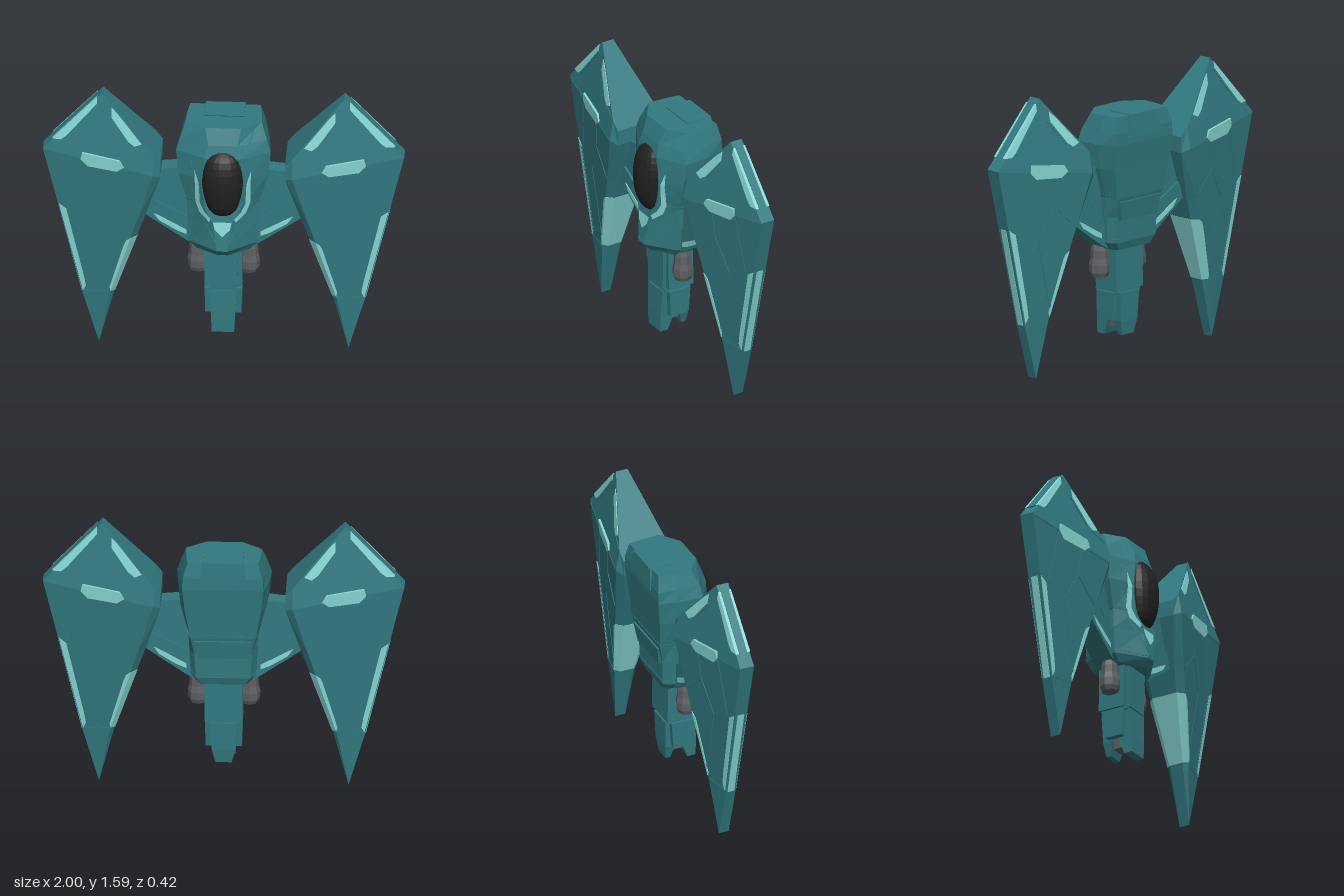
import * as THREE from 'three';

const mat = (name, color) => Object.assign(new THREE.MeshStandardMaterial({ color }), { name });

// Flat-shaded geometry from a list of triangles
function fromTriangles(tris) {
  const g = new THREE.BufferGeometry();
  g.setAttribute('position', new THREE.Float32BufferAttribute(tris.flat(2), 3));
  g.computeVertexNormals();
  return g;
}
function faceted(geo) {
  const g = geo.toNonIndexed();
  g.computeVertexNormals();
  return g;
}
// Mirrored copy across x = 0, with the corner order put right again
function mirrorX(geo) {
  const p = geo.attributes.position, tris = [];
  const v = (i) => [-p.getX(i), p.getY(i), p.getZ(i)];
  for (let i = 0; i < p.count; i += 3) tris.push([v(i), v(i + 2), v(i + 1)]);
  return fromTriangles(tris);
}
// Counter-clockwise triangles of a polygon
function triangulate(poly) {
  const c = poly.map(([x, y]) => new THREE.Vector2(x, y));
  return THREE.ShapeUtils.triangulateShape(c, []).map(([i, j, k]) =>
    THREE.ShapeUtils.area([c[i], c[j], c[k]]) > 0 ? [poly[i], poly[j], poly[k]] : [poly[i], poly[k], poly[j]]);
}
// Slab symmetric in z: faces of [x, y, half thickness], closed by a counter-clockwise rim
function slab(faces, rim) {
  const tris = [], back = ([x, y, h]) => [x, y, -h];
  for (const f of faces) for (const [a, b, c] of triangulate(f))
    tris.push([a, b, c], [back(a), back(c), back(b)]);
  rim.forEach((a, i) => {
    const b = rim[(i + 1) % rim.length];
    tris.push([a, back(a), back(b)], [a, back(b), b]);
  });
  return fromTriangles(tris);
}
// Panel through a slab, standing slightly proud of it on both sides
function plate(pts, height, lift = 0.004) {
  const poly = pts.map(([x, y]) => [x, y, height(x, y) + lift]);
  if (THREE.ShapeUtils.area(pts.map(([x, y]) => new THREE.Vector2(x, y))) < 0) poly.reverse();
  return slab([poly], poly);
}
// Corners of a narrow strip from a to b
function strip([ax, ay], [bx, by], w = 0.011) {
  const l = Math.hypot(bx - ax, by - ay), nx = (-(by - ay) / l) * w / 2, ny = ((bx - ax) / l) * w / 2;
  return [[ax - nx, ay - ny], [bx - nx, by - ny], [bx + nx, by + ny], [ax + nx, ay + ny]];
}
// Height of the plane through three points
function plane(a, b, c) {
  const n = new THREE.Plane().setFromCoplanarPoints(...[a, b, c].map((p) => new THREE.Vector3(...p)));
  return (x, y) => -(n.constant + n.normal.x * x + n.normal.y * y) / n.normal.z;
}
// Closed loft through rings ordered upwards
function loft(rings) {
  const tris = [], n = rings[0].length, top = rings[rings.length - 1], low = rings[0];
  for (let r = 0; r < rings.length - 1; r++) for (let i = 0; i < n; i++) {
    const j = (i + 1) % n, a = rings[r][i], b = rings[r][j], c = rings[r + 1][j], d = rings[r + 1][i];
    tris.push([a, b, c], [a, c, d]);
  }
  for (let i = 1; i < n - 1; i++) tris.push([top[0], top[i], top[i + 1]], [low[0], low[i + 1], low[i]]);
  return fromTriangles(tris);
}
// Tapered block; each end is [y, x0, x1, z0, z1]
const block = (...ends) => loft(ends.map(([y, x0, x1, z0, z1]) => [[x0, y, z1], [x1, y, z1], [x1, y, z0], [x0, y, z0]]));

// Hull sections: y, ridge half width, ridge z, side half width, side z, back half width, back z
const SECTIONS = [
  [0.645, 0.03, 0.14, 0.15, 0.06, 0.12, -0.13], [0.69, 0.03, 0.18, 0.19, 0.06, 0.15, -0.145],
  [0.84, 0.05, 0.16, 0.2, 0.06, 0.16, -0.15], [0.95, 0.1, 0.14, 0.2, 0.06, 0.18, -0.175],
  [1.12, 0.12, 0.14, 0.25, 0.06, 0.21, -0.19], [1.26, 0.1, 0.14, 0.262, 0.05, 0.225, -0.205],
  [1.33, 0.08, 0.12, 0.24, 0.04, 0.222, -0.205], [1.42, 0.1, 0.08, 0.21, 0.0, 0.195, -0.19],
];
function sectionAt(y) {
  const i = Math.max(1, SECTIONS.findIndex((s) => s[0] >= y)), a = SECTIONS[i - 1], b = SECTIONS[i];
  return a.map((v, k) => v + (b[k] - v) * (y - a[0]) / (b[0] - a[0]));
}
function hullRing([y, a, zf, w, zs, b, zb], grow = 0) {
  const half = [[a, zf + grow], [w + grow, zs], [w * 0.7 + b * 0.3 + grow, -0.1], [b + grow, zb - grow]];
  const other = half.map(([x, z]) => [-x, z]).reverse();
  return [...half, ...other].map(([x, z]) => [x, y, z]);
}
// Decal lying on the front of the hull
function hullDecal(pts, lift) {
  return fromTriangles(triangulate(pts.map(([x, y]) => {
    const [, a, zf, w, zs] = sectionAt(y), t = Math.max(0, (Math.abs(x) - a) / (w - a));
    return [x, y, zf + (zs - zf) * t + lift];
  })));
}

export function createModel() {
  const teal = mat('teal armour', 0x31797f), cyan = mat('pale cyan trim', 0x88d8d6);
  const black = mat('black canopy', 0x212121), grey = mat('grey metal', 0x5e5f63);
  const model = new THREE.Group();
  const add = (parent, name, geo, material) => {
    const m = new THREE.Mesh(geo, material);
    m.name = name;
    parent.add(m);
    return m;
  };

  // Wing surface: an upper and a lower facet meeting at a crease, with a bevel towards the hull
  const P = [0.385, 1.14, 0.165], O = [1, 1.23, 0.042], T = [0.67, 1.59, 0.035], B = [0.69, 0, 0.03];
  const upper = plane(P, O, T), lower = plane(P, O, B);
  const on = (f, x, y) => [x, y, f(x, y)];
  const I1 = [0.345, 1.21, 0.135], I2 = [0.345, 1.12, 0.135], I3 = [0.43, 0.85, 0.09], I4 = [0.605, 0.33, 0.04];
  const R1 = on(upper, 0.385, 1.257), R2 = on(lower, 0.47, 0.85), R3 = on(lower, 0.625, 0.34), Q = on(lower, 0.78, 0.31);
  const bevel = plane(I3, I4, R2), flat = (h) => () => h;
  const wingParts = [['wingPanel', teal, slab(
    [[P, O, T, R1], [P, R2, R3, B, Q, O], [I2, I3, R2, P], [I2, P, R1, I1], [I3, I4, R3, R2], [I4, B, R3]],
    [I1, I2, I3, I4, B, Q, O, T, R1])]];
  const trims = [
    [upper, [[0.948, 1.295], [0.7, 1.564], [0.7, 1.525], [0.87, 1.32], [0.9, 1.295]]],
    [upper, [[0.62, 1.512], [0.585, 1.478], [0.45, 1.318], [0.49, 1.3], [0.525, 1.325], [0.62, 1.455]]],
    [lower, [[0.547, 1.172], [0.588, 1.14], [0.752, 1.152], [0.79, 1.192], [0.78, 1.235], [0.57, 1.21]]],
    [lower, [[0.912, 0.88], [0.778, 0.325], [0.762, 0.36], [0.772, 0.42], [0.87, 0.85]]],
    [bevel, [[0.475, 0.71], [0.599, 0.34], [0.624, 0.345], [0.5125, 0.71]]],
    [lower, [[0.5125, 0.71], [0.624, 0.345], [0.63, 0.37], [0.55, 0.66], [0.537, 0.69]]],
  ];
  for (const [f, pts] of trims) wingParts.push(['wingTrim', cyan, plate(pts, f)]);
  // Cores along the outer rim: teal between the upper trims, cyan between the lower ones
  wingParts.push(['rimCore', teal, plate([[0.954, 1.293], [0.7, 1.569], [0.7, 1.54], [0.93, 1.29]], flat(0.024), 0)]);
  wingParts.push(['rimTrim', cyan, plate([[0.92, 0.88], [0.785, 0.315], [0.76, 0.33], [0.89, 0.88]], flat(0.02), 0)]);
  const seams = [
    [lower, [0.4, 1.135], [0.55, 1.157]], [lower, [0.79, 1.192], [0.985, 1.22]],
    [lower, [0.605, 1.13], [0.62, 0.98]], [lower, [0.62, 0.98], [0.48, 0.85]], [lower, [0.62, 0.98], [0.715, 0.8]],
    [lower, [0.715, 0.8], [0.62, 0.4]], [lower, [0.79, 1.18], [0.845, 0.86]], [lower, [0.63, 0.335], [0.77, 0.325]],
    [lower, [0.865, 0.85], [0.755, 0.36]], [upper, [0.5, 1.3], [0.4, 1.26]], [upper, [0.635, 1.46], [0.53, 1.32]],
    [upper, [0.69, 1.525], [0.865, 1.31]],
  ];
  for (const [f, a, b] of seams) wingParts.push(['wingSeam', teal, plate(strip(a, b), f, 0.003)]);

  // Arm joining wing and hull
  const armParts = [
    ['lowerArm', teal, plate([[0.14, 0.645], [0.2, 0.675], [0.45, 0.85], [0.45, 0.96], [0.18, 0.82]], flat(0.06), 0)],
    ['upperArm', teal, plate([[0.18, 1.14], [0.18, 0.78], [0.43, 0.9], [0.37, 1.12]], flat(0.048), 0)],
    ['armTrim', cyan, plate([[0.205, 0.718], [0.26, 0.742], [0.355, 0.802], [0.385, 0.845], [0.35, 0.828], [0.205, 0.745]], flat(0.06))],
    ['armSeam', teal, plate(strip([0.305, 1.1], [0.295, 0.93]), flat(0.048), 0.003)],
    ['armSeam', teal, plate(strip([0.295, 0.93], [0.25, 0.9]), flat(0.048), 0.003)],
  ];
  for (const side of ['left', 'right']) {
    const wing = new THREE.Group();
    wing.name = side + 'Wing';
    wing.position.z = -0.02;
    for (const [name, material, geo] of [...wingParts, ...armParts])
      add(wing, name, side === 'left' ? geo : mirrorX(geo), material);
    model.add(wing);
  }

  // Hull, its seam bands and rear plates
  add(model, 'hull', loft(SECTIONS.map((s) => hullRing(s))), teal);
  for (const y of [0.7, 0.955]) {
    add(model, 'hullSeam', loft([y, y + 0.012].map((v) => hullRing(sectionAt(v), 0.003))), teal);
  }
  add(model, 'rearCollar', block([1.3, -0.13, 0.13, -0.213, -0.1], [1.426, -0.11, 0.11, -0.205, -0.05]), teal);
  add(model, 'rearPlate', block([0.82, -0.14, 0.14, -0.165, -0.1], [0.93, -0.16, 0.16, -0.182, -0.1]), teal);

  // Canopy with a blunt top, narrowing towards its lower end
  const canopy = new THREE.SphereGeometry(1, 18, 14);
  const cp = canopy.attributes.position;
  for (let i = 0; i < cp.count; i++) {
    const [x, y, z] = [cp.getX(i), cp.getY(i), cp.getZ(i)];
    cp.setXYZ(i, x * 0.117 * (1 + 0.1 * y + 0.4 * y ** 4), 1.09 + y * 0.203, 0.12 + z * 0.09);
  }
  add(model, 'canopy', faceted(canopy), black);

  // Trim and seams around the canopy
  add(model, 'chinTrim', hullDecal([[0, 0.78], [0.042, 0.822], [0.052, 0.866], [-0.052, 0.866], [-0.042, 0.822]], 0.008), cyan);
  const sideDetails = [
    ['canopyTrim', cyan, [[0.158, 1.18], [0.132, 1.1], [0.126, 0.97], [0.152, 0.97], [0.154, 1.09]]],
    ['canopyTrim', cyan, [[0.126, 0.97], [0.1, 0.92], [0.065, 0.885], [0.075, 0.862], [0.13, 0.91], [0.152, 0.97]]],
    ['hullSeam', teal, strip([0.185, 1.2], [0.165, 0.97])],
    ['hullSeam', teal, strip([0.165, 0.97], [0.035, 0.74])],
    ['hullSeam', teal, strip([0.1, 1.31], [0.185, 1.2])],
    ['hullSeam', teal, strip([0.14, 1.3], [0.225, 1.285])],
    ['hullSeam', teal, strip([0.14, 1.3], [0.165, 1.39])],
  ];
  for (const [name, material, pts] of sideDetails) {
    const geo = hullDecal(pts, material === cyan ? 0.008 : 0.004);
    add(model, name, geo, material);
    add(model, name, mirrorX(geo), material);
  }

  // Tail: an upper block splitting into a front and a rear blade
  add(model, 'tailBlock', block([0.4, -0.104, 0.104, -0.095, 0.065], [0.66, -0.106, 0.106, -0.09, 0.07]), teal);
  add(model, 'tailFrontPlate', block([0.4, -0.075, 0.075, 0, 0.088], [0.66, -0.085, 0.085, 0, 0.09]), teal);
  add(model, 'tailSeam', block([0.385, -0.09, 0.09, -0.085, 0.08], [0.402, -0.09, 0.09, -0.085, 0.08]), teal);
  add(model, 'tailFrontBlade', block([0.13, -0.062, 0.062, 0.045, 0.095], [0.22, -0.066, 0.066, 0.01, 0.095], [0.387, -0.075, 0.075, 0, 0.088]), teal);
  add(model, 'tailRearBlade', block([0.14, -0.045, 0.045, -0.08, -0.05], [0.22, -0.065, 0.065, -0.09, -0.03], [0.387, -0.075, 0.075, -0.095, -0.02]), teal);
  add(model, 'tailCore', block([0.18, -0.04, 0.04, -0.055, 0.05], [0.39, -0.05, 0.05, -0.05, 0.05]), grey);
  const sidePlate = block([0.23, 0.062, 0.1, -0.055, 0.05], [0.387, 0.06, 0.104, -0.07, 0.06]);

  // Bulbous nozzles under the hull
  const profile = [[0, 0.48], [0.046, 0.48], [0.057, 0.505], [0.058, 0.55], [0.05, 0.585], [0.048, 0.63], [0.04, 0.66], [0, 0.66]];
  const nozzle = faceted(new THREE.LatheGeometry(profile.map(([x, y]) => new THREE.Vector2(x, y)), 8));
  for (const s of [1, -1]) {
    add(model, 'tailSidePlate', s > 0 ? sidePlate : mirrorX(sidePlate), teal);
    add(model, 'nozzle', nozzle, grey).position.set(0.142 * s, 0, 0);
  }
  return model;
}
